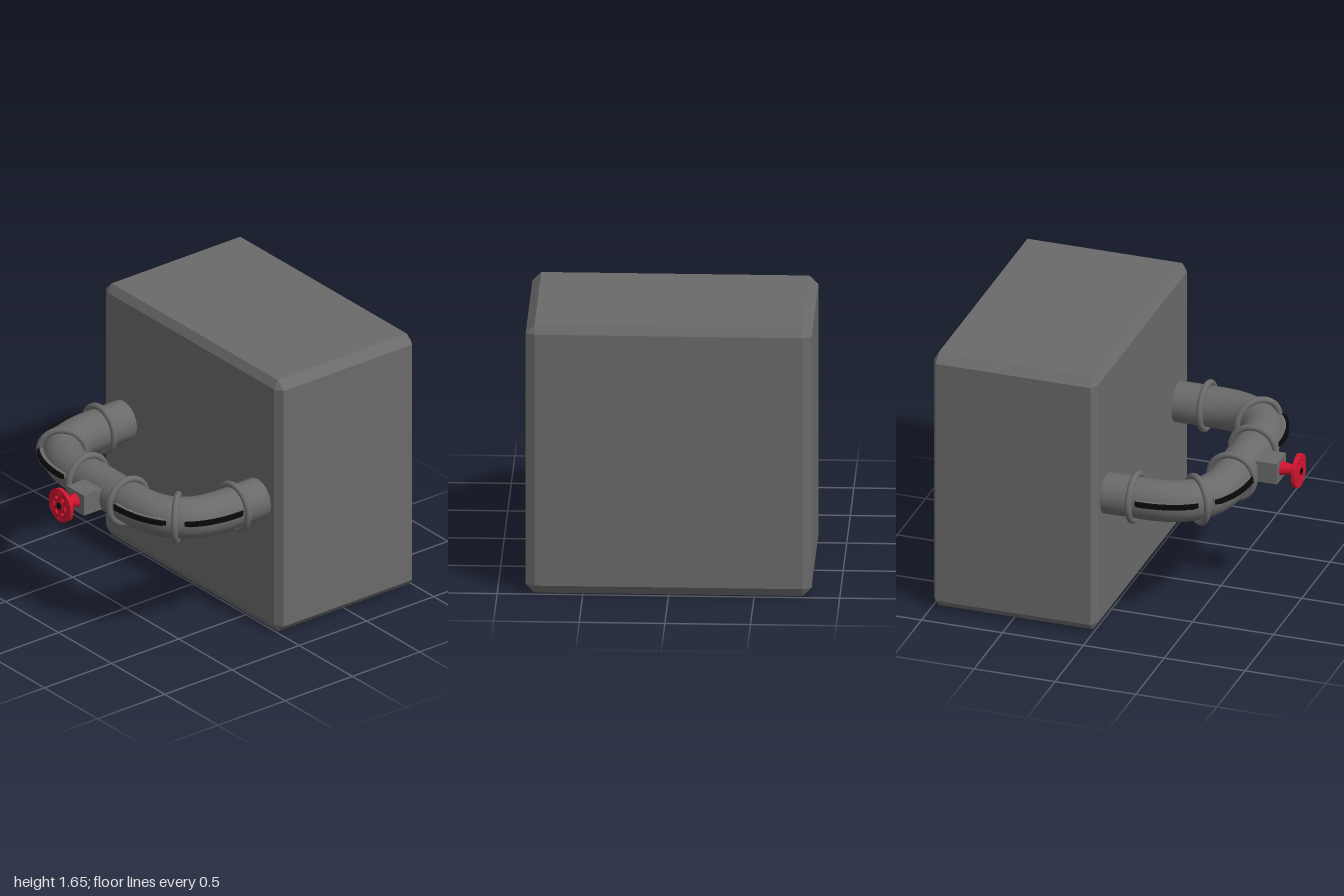
import * as THREE from 'three';
import { ConvexGeometry } from 'three/addons/geometries/ConvexGeometry.js';

const PIPE_Y = 0.825, PIPE_R = 0.123;
const V = (x, y, z) => new THREE.Vector3(x, y, z);

export function createModel() {
  const root = new THREE.Group();
  const grey = new THREE.MeshStandardMaterial({ color: 0x6a6a6a });
  const black = new THREE.MeshStandardMaterial({ color: 0x080808 });
  const red = new THREE.MeshStandardMaterial({ color: 0xd0142f });
  const add = (name, geometry, material, parent = root) => {
    const mesh = new THREE.Mesh(geometry, material);
    mesh.name = name;
    parent.add(mesh);
    return mesh;
  };

  // Chamfered block: three points at each corner
  const hx = 0.835, hy = 0.825, hz = 0.508, cx = 0.052, cy = 0.052, cz = 0.03;
  const corners = [];
  for (const sx of [-1, 1]) for (const sy of [-1, 1]) for (const sz of [-1, 1]) {
    corners.push(
      V(sx * (hx - cx), sy * (hy - cy), sz * hz),
      V(sx * (hx - cx), sy * hy, sz * (hz - cz)),
      V(sx * hx, sy * (hy - cy), sz * (hz - cz)));
  }
  add('block', new ConvexGeometry(corners), grey).position.set(0, hy, -1 + hz);

  // Pipe: two legs out of the block, two bends and a cross run
  const legX = 0.63, runZ = 0.635, bend = 0.38;
  const bendCurve = (s) => new THREE.QuadraticBezierCurve3(
    V(s * legX, PIPE_Y, runZ - bend), V(s * legX, PIPE_Y, runZ), V(s * (legX - bend), PIPE_Y, runZ));
  const rightBend = bendCurve(-1), leftBend = bendCurve(1);
  const path = new THREE.CurvePath();
  path.add(new THREE.LineCurve3(V(-legX, PIPE_Y, -0.02), rightBend.v0));
  path.add(rightBend);
  path.add(new THREE.LineCurve3(rightBend.v2, leftBend.v2));
  path.add(new THREE.QuadraticBezierCurve3(leftBend.v2, leftBend.v1, leftBend.v0));
  path.add(new THREE.LineCurve3(leftBend.v0, V(legX, PIPE_Y, -0.02)));
  add('pipe', new THREE.TubeGeometry(path, 120, PIPE_R, 32), grey);

  // Collars: on each leg, mid-bend and on the cross run
  const collar = new THREE.TorusGeometry(0.138, 0.02, 12, 40);
  for (const s of [-1, 1]) {
    const spots = [[legX, 0.195, 0], [0.538, 0.543, -Math.PI / 4], [0.19, runZ, Math.PI / 2]];
    for (const [x, z, turn] of spots) {
      const ring = add('collar', collar, grey);
      ring.position.set(s * x, PIPE_Y, z);
      ring.rotation.y = s * turn;
    }
  }

  // Fins along the outside of each bend, with a black outer edge
  const outline = [];
  const finLine = new THREE.CurvePath();
  finLine.add(new THREE.LineCurve3(V(legX, 0, 0.2), V(legX, 0, runZ - bend)));
  finLine.add(new THREE.QuadraticBezierCurve3(
    V(legX, 0, runZ - bend), V(legX, 0, runZ), V(legX - bend, 0, runZ)));
  finLine.add(new THREE.LineCurve3(V(legX - bend, 0, runZ), V(0.2, 0, runZ)));
  const offsetPoint = (u, d, s) => {
    const p = finLine.getPointAt(u), t = finLine.getTangentAt(u);
    return new THREE.Vector2(s * (p.x + t.z * d), -(p.z - t.x * d));
  };
  const strip = (s, u0, u1, inner, outer, height) => {
    const near = [], far = [], n = 14;
    for (let i = 0; i <= n; i++) {
      const u = u0 + (u1 - u0) * i / n;
      const dip = i === 0 || i === n ? 0.012 : 0;
      near.push(offsetPoint(u, inner, s));
      far.push(offsetPoint(u, outer - dip, s));
    }
    const geometry = new THREE.ExtrudeGeometry(
      new THREE.Shape([...near, ...far.reverse()]), { depth: height, bevelEnabled: false });
    geometry.rotateX(-Math.PI / 2);
    geometry.translate(0, 0.855 - height / 2, 0);
    return geometry;
  };
  for (const s of [-1, 1]) for (const [u0, u1] of [[0.05, 0.45], [0.55, 0.95]]) {
    const fin = new THREE.Group();
    fin.name = 'bendFin';
    root.add(fin);
    add('finBase', strip(s, u0, u1, 0.1, 0.142, 0.024), grey, fin);
    add('finEdge', strip(s, u0, u1, 0.138, 0.156, 0.028), black, fin);
  }

  // Valve body and flared stem
  add('valveBody', new THREE.BoxGeometry(0.16, 0.132, 0.15), grey).position.set(0, PIPE_Y, 0.8);
  const stemProfile = [[0.046, 0.87], [0.04, 0.885], [0.034, 0.92], [0.032, 0.95], [0.036, 0.975], [0, 0.975]]
    .map(([r, z]) => new THREE.Vector2(r, z));
  const stem = add('valveStem', new THREE.LatheGeometry(stemProfile, 24), red);
  stem.rotation.x = Math.PI / 2;
  stem.position.y = 0.83;

  // Handwheel: scalloped disc with six windows and six slim rim slots
  const wheel = new THREE.Group();
  wheel.name = 'handwheel';
  wheel.position.set(0, 0.83, 0.97);
  root.add(wheel);
  const rim = new THREE.Shape();
  for (let i = 0; i < 72; i++) {
    const a = i / 72 * Math.PI * 2;
    const r = 0.1 - 0.002 * Math.cos(6 * a);
    rim[i ? 'lineTo' : 'moveTo'](r * Math.cos(a), r * Math.sin(a));
  }
  const slot = (angle, half, r0, r1) => {
    const hole = new THREE.Path();
    hole.absarc(0, 0, r1, angle - half, angle + half, false);
    hole.absarc(0, 0, r0, angle + half * 0.9, angle - half * 0.9, true);
    hole.closePath();
    return hole;
  };
  for (let i = 0; i < 6; i++) {
    const a = i * Math.PI / 3;
    rim.holes.push(slot(a, 0.34, 0.042, 0.066), slot(a + Math.PI / 6, 0.26, 0.078, 0.088));
  }
  add('wheelRim', new THREE.ExtrudeGeometry(rim, {
    depth: 0.014, bevelThickness: 0.006, bevelSize: 0.005, bevelSegments: 3, curveSegments: 8,
  }), red, wheel).position.z = 0.003;
  const hub = add('wheelHub', new THREE.CylinderGeometry(0.034, 0.036, 0.026, 24), red, wheel);
  hub.rotation.x = Math.PI / 2;
  hub.position.z = 0.013;
  const nut = add('wheelNut', new THREE.CylinderGeometry(0.022, 0.022, 0.02, 6), black, wheel);
  nut.rotation.x = Math.PI / 2;
  nut.position.z = 0.02;

  return root;
}
